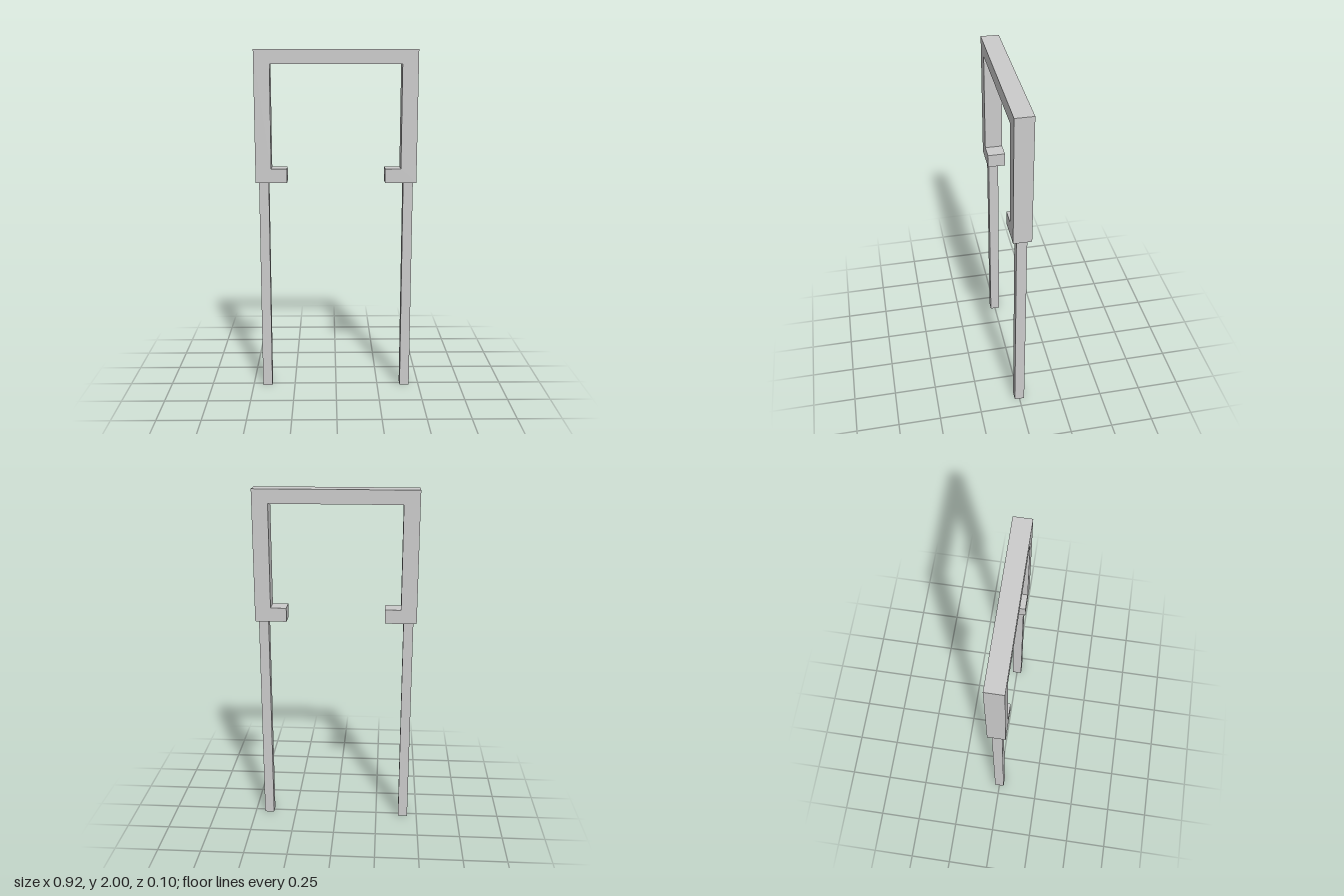
import * as THREE from 'three';

export function createModel() {
  const group = new THREE.Group();
  const grey = new THREE.MeshStandardMaterial({ color: 0xcccccc, flatShading: true });
  const openGrey = new THREE.MeshStandardMaterial({
    color: 0xcccccc, flatShading: true, side: THREE.DoubleSide,
  });

  // Upper frame: an arch with short inward feet, one continuous extrusion
  const half = [[0.281, 1.25], [0.281, 1.33], [0.371, 1.33], [0.371, 1.92]];
  const outer = [[0.461, 2], [0.461, 1.25]];
  const mirror = (points) => points.map(([x, y]) => [-x, y]).reverse();
  const outline = [...half, ...mirror(half), ...mirror(outer), ...outer];
  const shape = new THREE.Shape(outline.map(([x, y]) => new THREE.Vector2(x, y)));
  const depth = 0.102;
  const frameGeometry = new THREE.ExtrudeGeometry(shape, { depth, bevelEnabled: false });
  frameGeometry.translate(0, 0, -depth / 2);
  const frame = new THREE.Mesh(frameGeometry, grey);
  frame.name = 'upperFrame';
  group.add(frame);

  // Legs: hollow square tubes, open at the bottom
  const legHeight = 1.25;
  const legGeometry = new THREE.CylinderGeometry(Math.SQRT1_2, Math.SQRT1_2, legHeight, 4, 1, true);
  legGeometry.rotateY(Math.PI / 4);
  legGeometry.scale(0.056, 1, 0.058);
  for (const side of [-1, 1]) {
    const leg = new THREE.Mesh(legGeometry, openGrey);
    leg.name = side > 0 ? 'leftLeg' : 'rightLeg';
    leg.position.set(side * 0.415, legHeight / 2, 0);
    group.add(leg);
  }

  return group;
}
